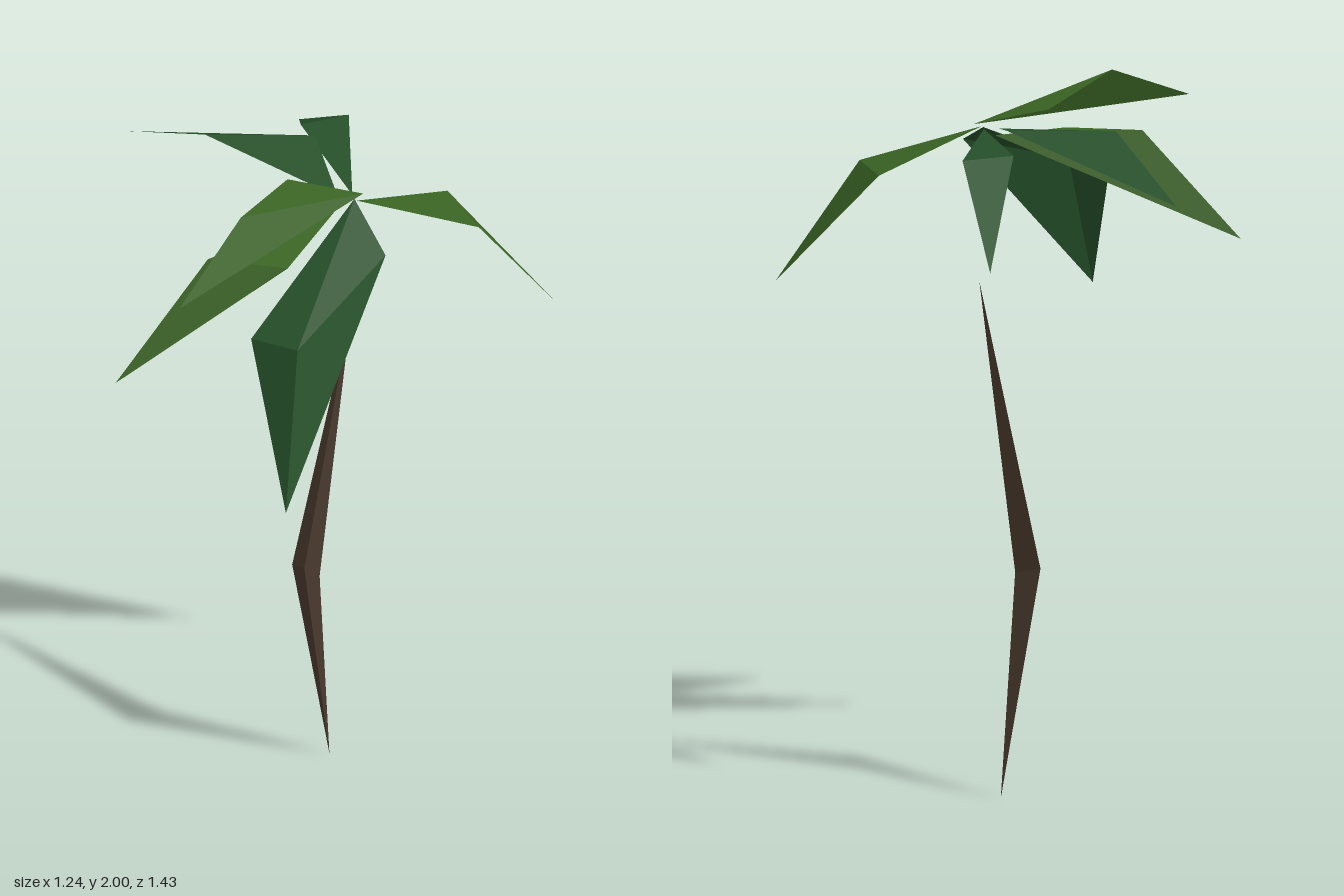
import * as THREE from 'three';

const mat = (name, color, side) => {
  const m = new THREE.MeshStandardMaterial({ color, side });
  m.name = name;
  return m;
};

// Flat-faceted mesh from a few corner points and triangles
function facets(name, points, faces, material) {
  const geo = new THREE.BufferGeometry();
  const pos = faces.flat().flatMap((i) => points[i]);
  geo.setAttribute('position', new THREE.Float32BufferAttribute(pos, 3));
  geo.computeVertexNormals();
  const mesh = new THREE.Mesh(geo, material);
  mesh.name = name;
  return mesh;
}

export function createModel() {
  const bark = mat('bark', 0x4a3a2e);
  const lightGreen = mat('light green', 0x3a6424, THREE.DoubleSide);
  const darkGreen = mat('dark green', 0x265029, THREE.DoubleSide);
  const palm = new THREE.Group();
  palm.name = 'palmTree';

  // Trunk: three-sided spindle, bent at the middle
  const trunk = [
    [-0.01, 0, -0.065], [0.052, 1.475, -0.05],
    [-0.085, 0.70, 0.08], [-0.04, 0.63, 0.01], [-0.115, 0.65, -0.02],
  ];
  const sides = [];
  for (let i = 0; i < 3; i++) {
    const a = 2 + i, b = 2 + (i + 1) % 3;
    sides.push([1, a, b], [0, b, a]);
  }
  palm.add(facets('trunk', trunk, sides, bark));

  // Fronds: point 0 is the base, the last point is the tip
  const folded = [[0, 2, 1], [1, 2, 3]];
  const fronds = [
    ['leftFrond', lightGreen,
      [[0.06, 1.89, 0.06], [0.32, 1.79, -0.14], [0.40, 1.785, 0.045], [0.62, 1.46, -0.07]], folded],
    ['backFrond', darkGreen,
      [[0.05, 1.89, 0.03], [-0.08, 1.905, -0.315], [0.055, 1.9, -0.37], [-0.07, 1.67, -0.715]], folded],
    ['backRightFrond', darkGreen,
      [[0.01, 1.89, 0.04], [-0.35, 1.955, -0.195], [-0.045, 1.945, -0.195], [-0.555, 1.81, -0.45]], folded],
    ['upperFrond', lightGreen,
      [[0.08, 1.9, 0.04], [-0.13, 1.95, 0.037], [-0.27, 2.0, 0.31], [-0.45, 1.87, 0.57]],
      [[0, 1, 2], [0, 2, 3]]],
    ['rightFrond', lightGreen,
      [[0.02, 1.87, 0.04], [-0.36, 1.84, 0.27], [-0.14, 1.83, 0.31], [-0.62, 1.51, 0.38]],
      [[0, 3, 1], [0, 1, 2], [1, 3, 2]].map(([a, b, c]) => [a, c, b].reverse())],
    ['frontFrond', darkGreen,
      [[0.055, 1.89, 0.05], [-0.245, 1.665, 0.41], [-0.12, 1.69, 0.515], [0.135, 1.81, 0.22], [-0.16, 1.285, 0.715]],
      [[0, 1, 2], [0, 2, 3], [1, 4, 2], [2, 4, 3]]],
  ];
  for (const [name, material, points, faces] of fronds) {
    palm.add(facets(name, points, faces, material));
  }
  return palm;
}
